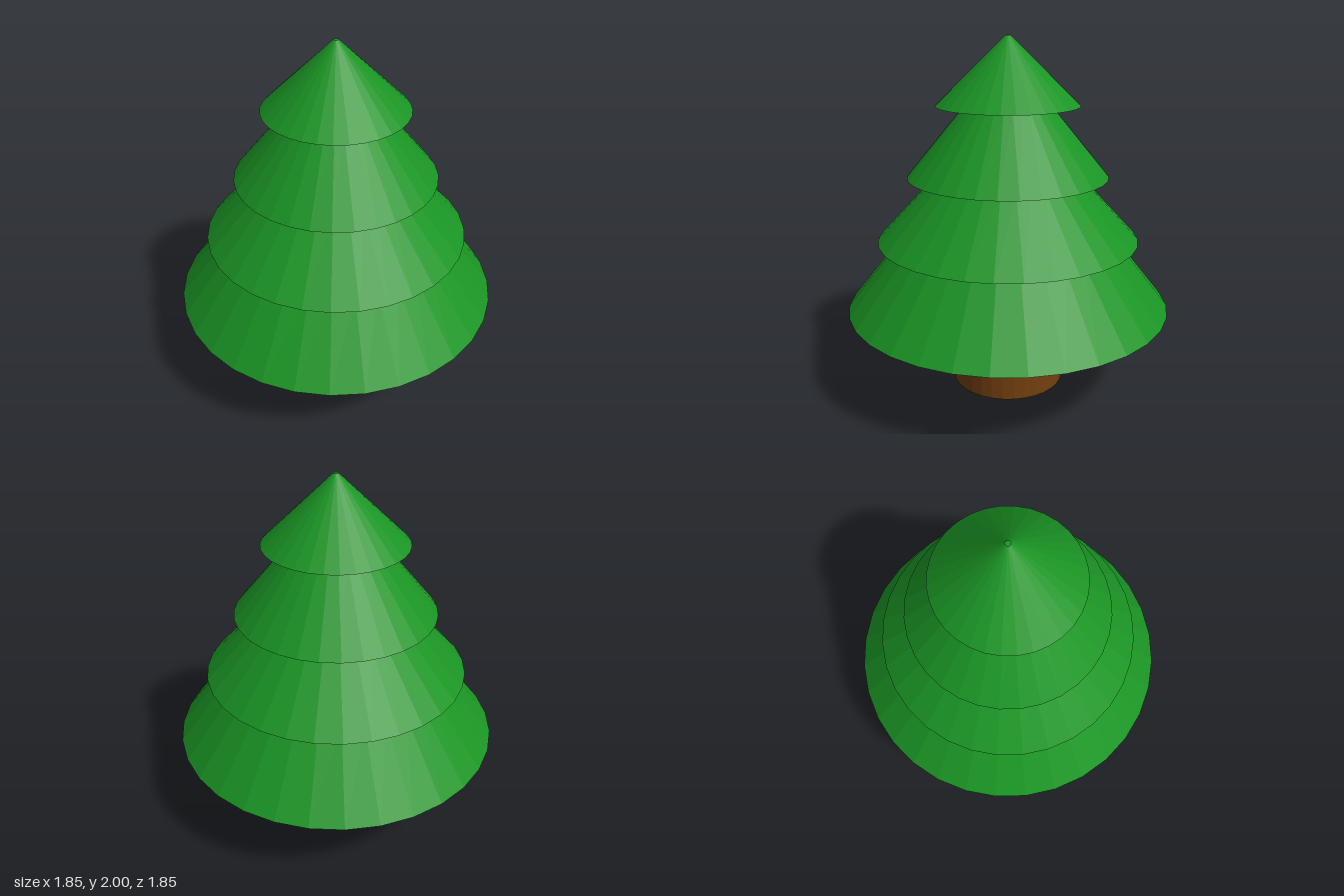
import * as THREE from 'three';

const SIDES = 32;

// Closed, faceted frustum standing between two heights
function frustum(name, bottomY, topY, bottomR, topR, material) {
  const height = topY - bottomY;
  const mesh = new THREE.Mesh(new THREE.CylinderGeometry(topR, bottomR, height, SIDES), material);
  mesh.position.y = bottomY + height / 2;
  mesh.name = name;
  return mesh;
}

export function createModel() {
  const tree = new THREE.Group();
  tree.name = 'pineTree';
  const bark = new THREE.MeshStandardMaterial({ color: 0x733f10, flatShading: true });
  const needles = new THREE.MeshStandardMaterial({ color: 0x1a9424, flatShading: true });

  // Trunk
  tree.add(frustum('trunk', 0, 0.48, 0.325, 0.325, bark));

  // Foliage tiers from the widest up: bottom y, top y, bottom radius, top radius
  const tiers = [
    [0.48, 0.875, 0.925, 0.61],
    [0.875, 1.235, 0.742, 0.405],
    [1.235, 1.627, 0.565, 0.24],
    [1.627, 2, 0.4, 0.014],
  ];
  tiers.forEach((tier, i) => tree.add(frustum(`foliageTier${i + 1}`, ...tier, needles)));

  return tree;
}
